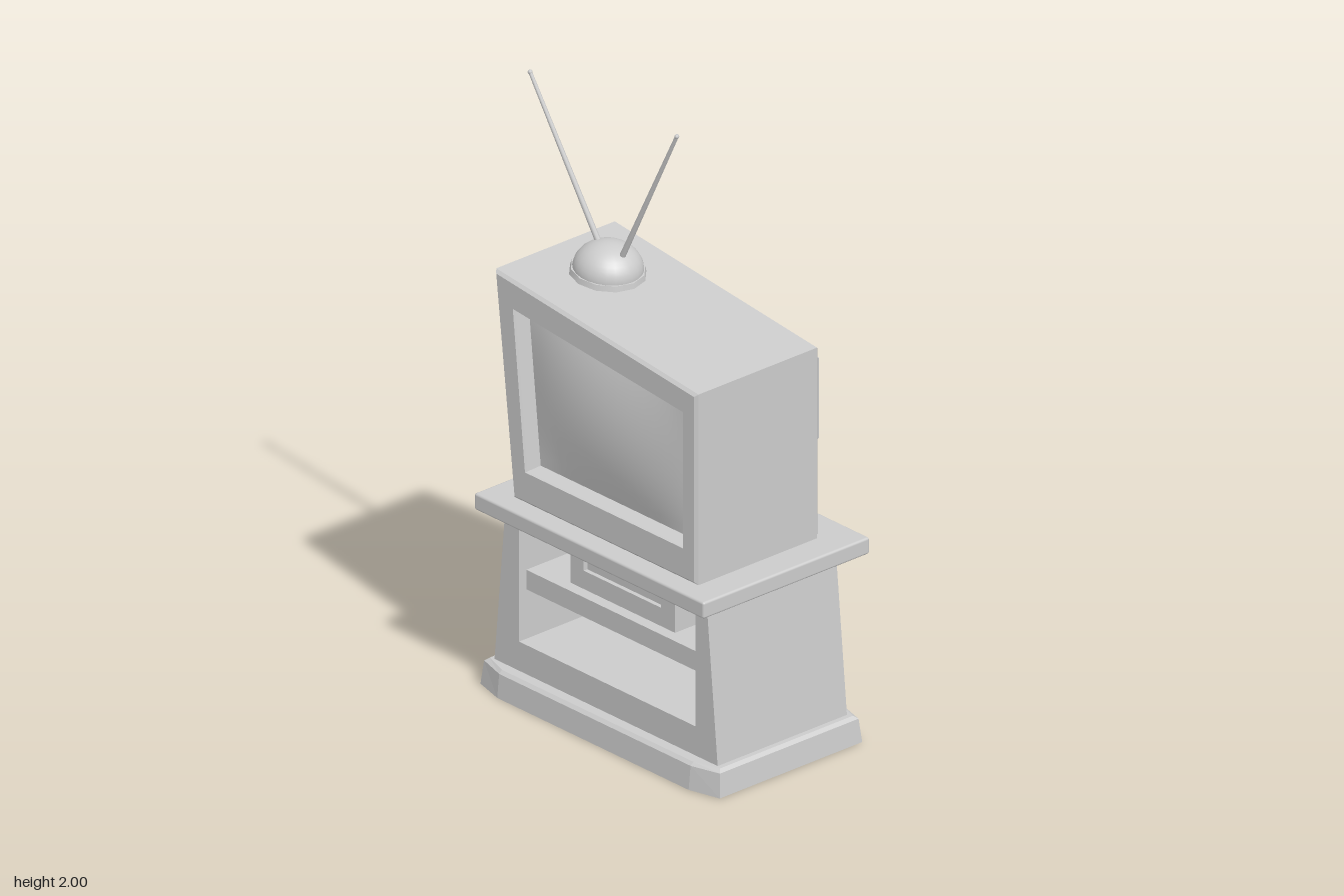
import * as THREE from 'three';
import { RoundedBoxGeometry } from 'three/addons/geometries/RoundedBoxGeometry.js';

const grey = new THREE.MeshStandardMaterial({ color: 0xcccccc });

function add(parent, name, geometry, x = 0, y = 0, z = 0) {
  const mesh = new THREE.Mesh(geometry, grey);
  mesh.name = name;
  mesh.position.set(x, y, z);
  parent.add(mesh);
  return mesh;
}

// Box given by its limits on each axis
function box(parent, name, [x0, x1], [y0, y1], [z0, z1], radius = 0) {
  const size = [x1 - x0, y1 - y0, z1 - z0];
  const geo = radius ? new RoundedBoxGeometry(...size, 2, radius) : new THREE.BoxGeometry(...size);
  return add(parent, name, geo, (x0 + x1) / 2, (y0 + y1) / 2, (z0 + z1) / 2);
}

// Faceted skin through a list of rings with equal point counts
function loft(rings, capEnd) {
  const pos = [];
  const tri = (...pts) => pts.forEach((p) => pos.push(...p));
  for (let i = 0; i + 1 < rings.length; i++) {
    const r = rings[i], s = rings[i + 1], n = r.length;
    for (let j = 0; j < n; j++) {
      const k = (j + 1) % n;
      tri(r[j], s[j], s[k]);
      tri(r[j], s[k], r[k]);
    }
  }
  if (capEnd) {
    const e = rings[rings.length - 1];
    for (let j = 1; j + 1 < e.length; j++) tri(e[0], e[j + 1], e[j]);
  }
  const geo = new THREE.BufferGeometry();
  geo.setAttribute('position', new THREE.Float32BufferAttribute(pos, 3));
  geo.computeVertexNormals();
  return geo;
}

function extrude(points, depth, hole) {
  const toV = (list) => list.map(([x, y]) => new THREE.Vector2(x, y));
  const shape = new THREE.Shape(toV(points));
  if (hole) shape.holes.push(new THREE.Path(toV(hole)));
  return new THREE.ExtrudeGeometry(shape, { depth, bevelEnabled: false });
}

const rect = (x0, x1, y0, y1) => [[x0, y0], [x1, y0], [x1, y1], [x0, y1]];

function buildStand() {
  const stand = new THREE.Group();
  stand.name = 'stand';

  // Hollow plinth with bowed front and back
  const ring = (y, d) => [
    [-0.5 + d, 0.335 - d], [-0.39, 0.365 - d], [0.49, 0.365 - d], [0.6 - d, 0.335 - d],
    [0.6 - d, -0.26 + d], [0.49, -0.288 + d], [-0.39, -0.288 + d], [-0.5 + d, -0.26 + d],
  ].map(([x, z]) => [x, y, z]);
  add(stand, 'plinth', loft([
    ring(0, 0.06), ring(0.09, 0.075), ring(0.09, 0.02), ring(0.08, 0.008), ring(0, 0), ring(0, 0.06),
  ]));

  // Sloping side walls joined by the cabinet floor
  add(stand, 'cabinet', extrude([
    [-0.463, 0.088], [-0.42, 0.088], [-0.42, 0.165], [0.52, 0.165], [0.52, 0.088], [0.563, 0.088],
    [0.513, 0.625], [0.46, 0.625], [0.46, 0.19], [-0.35, 0.19], [-0.35, 0.625], [-0.413, 0.625],
  ], 0.54), 0, 0, -0.23);
  box(stand, 'frontPanel', [-0.42, 0.52], [0.088, 0.165], [0.275, 0.31]);
  box(stand, 'backPanel', [-0.42, 0.52], [0.088, 0.165], [-0.23, -0.195]);

  box(stand, 'shelf', [-0.35, 0.46], [0.36, 0.427], [-0.11, 0.28]);
  box(stand, 'tabletop', [-0.48, 0.575], [0.62, 0.677], [-0.315, 0.38], 0.008);
  return stand;
}

function buildPlayer() {
  const player = new THREE.Group();
  player.name = 'videoPlayer';
  box(player, 'playerBody', [-0.19, 0.29], [0.427, 0.57], [-0.05, 0.225]);
  add(player, 'playerFront',
    extrude(rect(-0.19, 0.29, 0.427, 0.57), 0.015, rect(-0.13, 0.225, 0.49, 0.563)), 0, 0, 0.225);
  return player;
}

function buildTelevision() {
  const tv = new THREE.Group();
  tv.name = 'television';

  // Lopsided outlines, counterclockwise from bottom left
  const outer = [[-0.37, 0.68], [0.475, 0.68], [0.475, 1.335], [-0.455, 1.435]];
  const bevel = [[-0.36, 0.69], [0.465, 0.69], [0.465, 1.326], [-0.444, 1.424]];
  const opening = [[-0.312, 0.788], [0.415, 0.788], [0.415, 1.256], [-0.368, 1.33]];
  const glass = [[-0.3, 0.798], [0.405, 0.798], [0.405, 1.246], [-0.354, 1.317]];
  const neck = [[-0.215, 0.85], [0.295, 0.85], [0.295, 1.185], [-0.255, 1.24]];
  const tail = [[-0.18, 0.885], [0.265, 0.885], [0.265, 1.16], [-0.215, 1.21]];
  const at = (quad, z) => quad.map(([x, y]) => [x, y, z]);
  add(tv, 'casing', loft([
    at(glass, 0.265), at(opening, 0.31), at(opening, 0.32), at(bevel, 0.32), at(outer, 0.31),
    at(outer, -0.185), at(bevel, -0.195), at(neck, -0.262), at(tail, -0.384),
  ], true));

  // Bulging screen stretched over the opening
  const screen = new THREE.PlaneGeometry(1, 1, 14, 14);
  const p = screen.attributes.position;
  const mix = THREE.MathUtils.lerp;
  for (let i = 0; i < p.count; i++) {
    const u = p.getX(i) + 0.5, v = p.getY(i) + 0.5;
    const [x, y] = [0, 1].map((k) =>
      mix(mix(glass[0][k], glass[1][k], u), mix(glass[3][k], glass[2][k], u), v));
    p.setXYZ(i, x, y, 0.265 + 0.04 * (1 - (2 * u - 1) ** 2) * (1 - (2 * v - 1) ** 2));
  }
  screen.computeVertexNormals();
  add(tv, 'screen', screen);
  return tv;
}

function buildAntenna() {
  const antenna = new THREE.Group();
  antenna.name = 'antenna';

  // Foot and dome lean with the sloping top
  const foot = new THREE.Group();
  foot.name = 'antennaFoot';
  foot.position.set(-0.238, 1.408, 0.042);
  foot.rotation.z = -0.107;
  antenna.add(foot);
  add(foot, 'footRing', new THREE.CylinderGeometry(0.118, 0.124, 0.024, 12), 0, 0.01, 0);
  add(foot, 'dome', new THREE.SphereGeometry(0.112, 24, 10, 0, Math.PI * 2, 0, Math.PI / 2), 0, 0.02, 0)
    .scale.y = 0.79;

  // Two tapered rods with small tips
  const up = new THREE.Vector3(0, 1, 0);
  for (const [name, x0, y0, x1, y1] of [
    ['rightRod', -0.27, 1.487, -0.594, 1.972],
    ['leftRod', -0.175, 1.482, 0.08, 1.992],
  ]) {
    const a = new THREE.Vector3(x0, y0, 0.042), b = new THREE.Vector3(x1, y1, 0.042);
    const dir = b.clone().sub(a);
    const rod = add(antenna, name, new THREE.CylinderGeometry(0.006, 0.01, dir.length(), 8));
    rod.position.copy(a).add(b).multiplyScalar(0.5);
    rod.quaternion.setFromUnitVectors(up, dir.normalize());
    add(antenna, name + 'Tip', new THREE.SphereGeometry(0.008, 8, 6), x1, y1, 0.042);
  }
  return antenna;
}

export function createModel() {
  const model = new THREE.Group();
  model.name = 'televisionOnStand';
  model.add(buildStand(), buildPlayer(), buildTelevision(), buildAntenna());
  return model;
}
